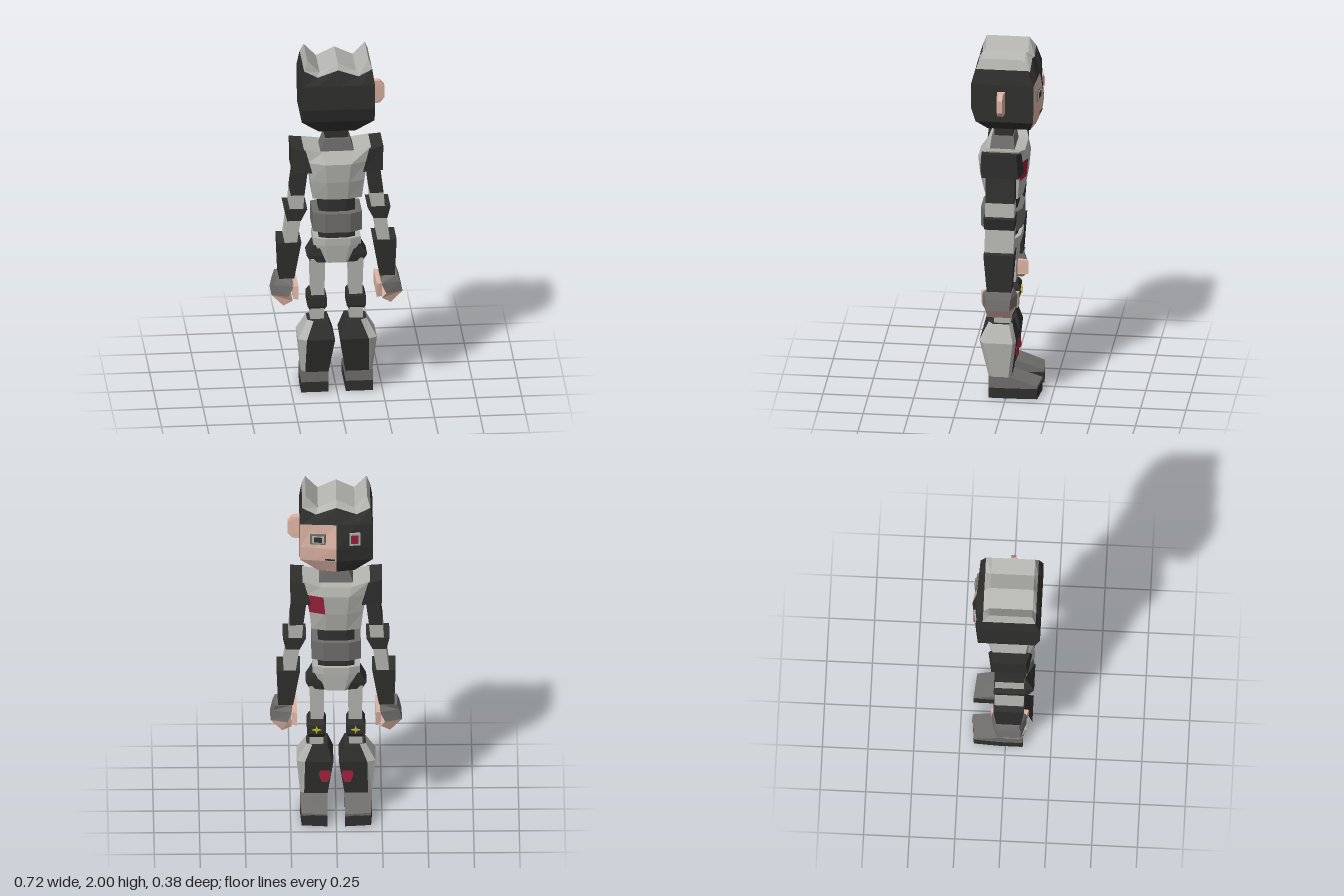
import * as THREE from 'three';

const mat = (color) => new THREE.MeshStandardMaterial({ color, flatShading: true, roughness: 0.9 });
const dark = mat(0x30302f), mid = mat(0x706e6c), light = mat(0xb4b4b0);
const skin = mat(0xddb5a4), red = mat(0x9a2038), yellow = mat(0xc4bc20);

// Rectangular ring, bottom to top lofting; the x1 side may differ in height and be narrower by t.
const rect = (y, x0, x1, z0, z1, t = 0, y1 = y) =>
  [[x0, y, z1], [x1, y1, z1 - t], [x1, y1, z0 + t], [x0, y, z0]];

// Eight-sided body ring: w/wi half widths, s/c side and centre depths, yi inner height.
const body = (y, w, wi, s0, s1, c0, c1, yi = y) => [
  [-w, y, s1], [-wi, yi, c1], [wi, yi, c1], [w, y, s1],
  [w, y, s0], [wi, yi, c0], [-wi, yi, c0], [-w, y, s0]];

// Joins rings into a faceted solid. pick(segment, side) chooses which wall faces to keep.
function loft(rings, pick = () => true, caps = true) {
  const pos = [], n = rings[0].length;
  const quad = (a, b, c, d) => pos.push(...a, ...b, ...c, ...a, ...c, ...d);
  for (let i = 0; i < rings.length - 1; i++)
    for (let j = 0; j < n; j++) {
      const k = (j + 1) % n;
      if (pick(i, j)) quad(rings[i][j], rings[i][k], rings[i + 1][k], rings[i + 1][j]);
    }
  if (caps) {
    const lo = rings[0], hi = rings[rings.length - 1];
    for (let j = 0; j < n / 2 - 1; j++) {
      quad(hi[j], hi[j + 1], hi[n - 2 - j], hi[n - 1 - j]);
      quad(lo[n - 1 - j], lo[n - 2 - j], lo[j + 1], lo[j]);
    }
  }
  const g = new THREE.BufferGeometry();
  g.setAttribute('position', new THREE.Float32BufferAttribute(pos, 3));
  g.computeVertexNormals();
  return g;
}

function mirrored(geo) {
  const g = geo.index ? geo.toNonIndexed() : geo.clone();
  const p = g.attributes.position, q = p.array;
  for (let i = 0; i < q.length; i += 3) q[i] *= -1;
  for (let i = 0; i < q.length; i += 9)
    for (let k = 0; k < 3; k++) [q[i + 3 + k], q[i + 6 + k]] = [q[i + 6 + k], q[i + 3 + k]];
  g.computeVertexNormals();
  return g;
}

export function createModel() {
  const model = new THREE.Group();
  const add = (name, material, geo) => {
    const m = new THREE.Mesh(geo, material);
    m.name = name;
    model.add(m);
    return m;
  };
  const pair = (name, material, geo) => {
    add(name + 'Left', material, geo);
    add(name + 'Right', material, mirrored(geo));
  };
  const box = (w, h, d, x, y, z, ry = 0) =>
    new THREE.BoxGeometry(w, h, d).rotateY(ry).translate(x, y, z);

  // Head: five columns across, back row then front row, with a ridge down the face
  const cols = [-1, -0.6, 0, 0.6, 1];
  const headRing = (w, back, front, bulge, ys) => [
    ...cols.map((c, i) => [c * w, ys[i], back]),
    ...cols.map((c, i) => [c * w, ys[i], front - bulge * (1 - Math.abs(c))]).reverse()];
  const flat = (y) => cols.map(() => y);
  const headRings = [
    headRing(0.1, 0.11, -0.125, 0.02, flat(1.56)),
    headRing(0.2, 0.165, -0.15, 0.03, flat(1.64)),
    headRing(0.2, 0.19, -0.155, 0.035, flat(1.72)),
    headRing(0.2, 0.19, -0.155, 0.012, flat(1.86)),
    headRing(0.187, 0.165, -0.125, 0, [1.945, 1.905, 1.945, 1.905, 1.945]),
    headRing(0.168, 0.145, -0.09, 0, [2, 1.93, 1.978, 1.93, 2])];
  const isFace = (i, j) => i < 3 && (j === 5 || j === 6);
  add('head', dark, loft(headRings.slice(0, 5), (i, j) => !isFace(i, j)));
  add('face', skin, loft(headRings.slice(0, 4), isFace, false));
  add('spikedHair', light, loft(headRings.slice(4)));
  add('ear', skin, loft([rect(1.69, 0.19, 0.24, 0, 0.05, 0.01), rect(1.72, 0.19, 0.265, 0, 0.05, 0.012),
    rect(1.79, 0.19, 0.265, 0, 0.05, 0.012), rect(1.82, 0.19, 0.24, 0, 0.05, 0.01)]));

  // Eyes and mouth
  add('eyeFrame', mid, box(0.085, 0.06, 0.02, 0.1, 1.775, -0.165, -0.12));
  add('eyeWhite', light, box(0.066, 0.043, 0.02, 0.1, 1.775, -0.168, -0.12));
  add('pupil', dark, box(0.045, 0.03, 0.02, 0.1, 1.775, -0.171, -0.12));
  add('redEyeFrame', light, box(0.06, 0.075, 0.02, -0.1, 1.775, -0.165, 0.12));
  add('redEye', red, box(0.04, 0.05, 0.02, -0.1, 1.775, -0.169, 0.12));
  add('mouth', dark, box(0.055, 0.01, 0.02, 0.035, 1.65, -0.168, -0.15));

  // Neck and collar
  add('neck', dark, loft([rect(1.48, -0.065, 0.065, -0.025, 0.075), rect(1.58, -0.065, 0.065, -0.025, 0.075)]));
  add('collar', mid, loft([rect(1.42, -0.098, 0.098, -0.04, 0.1), rect(1.505, -0.07, 0.07, -0.03, 0.09)]));

  // Torso with a coloured chest panel
  const chest = [
    body(1.16, 0.135, 0.055, -0.06, 0.105, -0.08, 0.13),
    body(1.27, 0.147, 0.06, -0.07, 0.125, -0.1, 0.155),
    body(1.38, 0.165, 0.07, -0.075, 0.125, -0.11, 0.165),
    body(1.46, 0.185, 0.085, -0.07, 0.11, -0.095, 0.125, 1.435)];
  const isPanel = (i, j) => i === 1 && j === 4;
  add('torso', light, loft(chest, (i, j) => !isPanel(i, j)));
  add('chestPanel', red, loft(chest, isPanel, false));

  // Waist, belts and pelvis
  add('waist', dark, loft([body(0.91, 0.1, 0.05, -0.035, 0.09, -0.05, 0.11), body(1.17, 0.1, 0.05, -0.035, 0.09, -0.05, 0.11)]));
  add('wideBelt', mid, loft([body(0.97, 0.135, 0.07, -0.05, 0.115, -0.078, 0.15), body(1.08, 0.135, 0.07, -0.05, 0.115, -0.078, 0.15)]));
  add('lowerBelt', light, loft([body(0.88, 0.13, 0.07, -0.045, 0.1, -0.07, 0.125), body(0.922, 0.13, 0.07, -0.045, 0.1, -0.07, 0.125)]));
  add('pelvis', light, loft([body(0.77, 0.068, 0.045, -0.035, 0.09, -0.05, 0.1), body(0.88, 0.12, 0.07, -0.04, 0.095, -0.055, 0.11)]));
  pair('hipPad', dark, loft([rect(0.77, 0.06, 0.142, -0.038, 0.095, 0.01), rect(0.81, 0.075, 0.166, -0.042, 0.1, 0.012),
    rect(0.87, 0.1, 0.132, -0.038, 0.098, 0.01)]));

  // Arms, top to bottom
  const Z = [-0.055, 0.105];
  pair('shoulder', dark, loft([rect(1.325, 0.14, 0.25, -0.095, 0.145, 0.02), rect(1.45, 0.175, 0.252, -0.085, 0.135, 0.02, 1.466)]));
  pair('upperArm', dark, loft([rect(1.18, 0.18, 0.255, ...Z), rect(1.34, 0.16, 0.235, ...Z)]));
  pair('armBand', light, loft([rect(1.09, 0.188, 0.262, ...Z), rect(1.18, 0.18, 0.255, ...Z)]));
  pair('elbow', dark, loft([rect(1.03, 0.2, 0.275, -0.058, 0.108), rect(1.1, 0.165, 0.292, -0.06, 0.112)]));
  pair('forearm', light, loft([rect(0.89, 0.222, 0.29, ...Z), rect(1.04, 0.2, 0.272, ...Z)]));
  pair('gauntlet', dark, loft([rect(0.68, 0.235, 0.318, -0.045, 0.09), rect(0.9, 0.197, 0.326, -0.06, 0.108)]));

  // Hands: grey back, curled fingers and a thumb plate
  pair('handBack', mid, loft([rect(0.585, 0.268, 0.36, -0.07, 0.12, 0.03), rect(0.645, 0.24, 0.346, -0.07, 0.12, 0.028),
    rect(0.68, 0.245, 0.333, -0.05, 0.08)]));
  pair('fingers', skin, loft([rect(0.555, 0.245, 0.295, -0.06, 0.11, 0.02, 0.52), rect(0.585, 0.268, 0.36, -0.07, 0.12, 0.03)]));
  pair('thumb', skin, loft([rect(0.57, 0.215, 0.243, -0.08, 0.13, 0.01), rect(0.648, 0.215, 0.246, -0.08, 0.13, 0.01)]));

  // Thighs and knees
  pair('thigh', light, loft([rect(0.57, 0.068, 0.14, -0.025, 0.078), rect(0.79, 0.065, 0.146, -0.032, 0.09)]));
  pair('knee', dark, loft([rect(0.475, 0.07, 0.145, -0.035, 0.065), rect(0.5, 0.055, 0.16, -0.05, 0.075),
    rect(0.555, 0.055, 0.16, -0.05, 0.075), rect(0.58, 0.068, 0.147, -0.035, 0.07)]));
  const star = new THREE.Shape();
  for (let i = 0; i < 8; i++) {
    const r = i % 2 ? 0.008 : 0.026, a = (i * Math.PI) / 4;
    star[i ? 'lineTo' : 'moveTo'](r * Math.cos(a), r * Math.sin(a));
  }
  pair('kneeStar', yellow, new THREE.ExtrudeGeometry(star, { depth: 0.012, bevelEnabled: false }).translate(0.107, 0.528, -0.058));
  pair('shin', light, loft([rect(0.4, 0.07, 0.145, -0.022, 0.07), rect(0.49, 0.07, 0.145, -0.022, 0.07)]));

  // Boots: dark shell with a pale outer flank
  const boot = (y, x0, xm, x1, z0, z1) => [[x0, y, z1], [xm, y, z1], [x1, y, z1 - 0.025],
    [x1, y, z0 + 0.015], [xm, y, z0], [x0, y, z0]];
  const boots = [boot(0.12, 0.047, 0.175, 0.196, -0.03, 0.095), boot(0.33, 0.015, 0.17, 0.216, -0.055, 0.147),
    boot(0.425, 0.047, 0.13, 0.163, -0.03, 0.1)];
  const isFlank = (i, j) => j > 0 && j < 4;
  pair('boot', dark, loft(boots, (i, j) => !isFlank(i, j)));
  pair('bootFlank', light, loft(boots, isFlank, false));
  const gem = new THREE.CylinderGeometry(1, 1, 0.012, 6).rotateX(Math.PI / 2).rotateZ(Math.PI / 6)
    .scale(0.034, 0.052, 1).rotateX(0.12).translate(0.062, 0.25, -0.045);
  pair('bootGem', red, gem);

  // Feet: wedge-shaped upper on a flat sole
  const footRing = (heel, toe) => [[0.048, toe, -0.187], [0.048, heel, -0.03], [0.048, heel, 0.095],
    [0.197, heel, 0.095], [0.197, heel, -0.03], [0.19, toe, -0.173]];
  pair('footUpper', mid, loft([footRing(0.06, 0.06), footRing(0.125, 0.075)]));
  pair('sole', dark, loft([footRing(0, 0), footRing(0.06, 0.066)]));

  return model;
}
